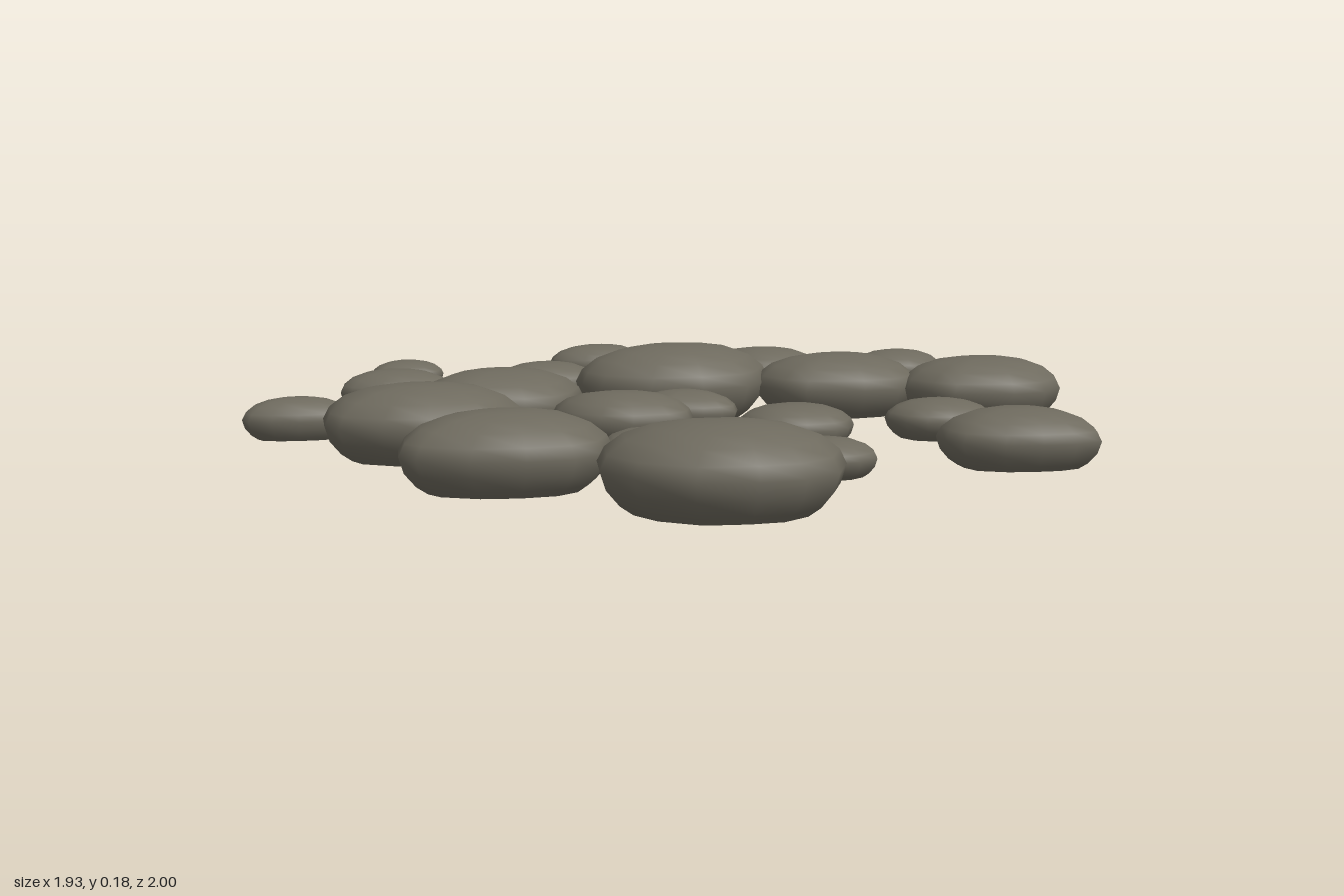
import * as THREE from 'three';

const SIDES = 13;

// Each stone: x min, x max, z min, z max, left and right tip offset (share of half depth)
const STONES = [
  [-0.67, -0.49, -0.90, -0.76, 0.2, 0.1],
  [-0.21, 0.04, -1.00, -0.83, 0, 0],
  [0.17, 0.46, -0.82, -0.60, -0.2, 0.1],
  [0.54, 0.78, -0.83, -0.65, 0.2, -0.2],
  [-0.37, -0.12, -0.69, -0.51, 0.1, 0],
  [-0.75, -0.48, -0.56, -0.37, 0, 0.1],
  [-0.19, 0.28, -0.55, -0.23, 0, -0.35],
  [0.24, 0.63, -0.49, -0.22, -0.1, -0.15],
  [0.58, 0.96, -0.41, -0.13, -0.2, -0.1],
  [-0.58, -0.19, -0.33, -0.03, 0.2, -0.3],
  [-0.09, 0.15, -0.19, -0.01, 0, 0.2],
  [-0.97, -0.72, -0.15, -0.01, 0.1, 0],
  [-0.79, -0.35, -0.02, 0.30, -0.1, -0.1],
  [-0.28, 0.03, -0.06, 0.16, -0.4, 0],
  [0.11, 0.37, 0.08, 0.28, 0, 0],
  [0.46, 0.70, 0.01, 0.19, -0.1, 0.1],
  [-0.21, 0.01, 0.30, 0.50, 0, -0.2],
  [-0.64, -0.20, 0.39, 0.69, 0.1, -0.1],
  [0.50, 0.84, 0.32, 0.56, 0, 0.2],
  [0.12, 0.34, 0.48, 0.65, 0.1, 0],
  [-0.26, 0.23, 0.65, 1.00, -0.3, -0.1],
];

// Rings from crown to underside: radius share, height share (-1 to 1)
const PROFILE = [[0.3, 0.97], [0.56, 0.85], [0.79, 0.62], [0.94, 0.3],
  [1, -0.03], [0.95, -0.45], [0.84, -0.8], [0.73, -1]];

function seeded(seed) {
  let s = seed * 7919 + 17;
  return () => (s = (s * 16807) % 2147483647) / 2147483647;
}

// Irregular rounded outline, stretched to fill -1..1 on both axes
function makeOutline(tipLeft, tipRight, rand) {
  const soft = (v) => Math.sign(v) * Math.abs(v) ** 0.88;
  const pts = [];
  for (let i = 0; i < SIDES; i++) {
    const a = ((i + (i ? (rand() - 0.5) * 0.45 : 0)) / SIDES) * Math.PI * 2;
    const r = 0.97 + rand() * 0.06;
    const x = soft(Math.cos(a)) * r;
    const tip = x > 0 ? tipRight : tipLeft;
    pts.push(new THREE.Vector2(x, soft(Math.sin(a)) * r + tip * Math.abs(x) ** 3));
  }
  const box = new THREE.Box2().setFromPoints(pts);
  const mid = box.getCenter(new THREE.Vector2());
  const half = box.getSize(new THREE.Vector2()).multiplyScalar(0.5);
  return pts.map((p) => p.sub(mid).divide(half));
}

// Smooth domed pebble with a crisp flat underside
function stoneGeometry(halfW, halfH, halfD, outline) {
  const pos = [0, halfH, 0];
  const index = [];
  const addRing = ([r, h]) => outline.forEach((p) =>
    pos.push(p.x * r * halfW, h * halfH, p.y * r * halfD));
  PROFILE.forEach(addRing);
  addRing(PROFILE[PROFILE.length - 1]); // separate ring keeps the lower edge sharp
  const base = 1 + PROFILE.length * SIDES;
  const centre = pos.length / 3;
  pos.push(0, -halfH, 0);
  for (let j = 0; j < SIDES; j++) {
    const k = (j + 1) % SIDES;
    index.push(0, 1 + k, 1 + j);
    for (let i = 0; i < PROFILE.length - 1; i++) {
      const u = 1 + i * SIDES, l = u + SIDES;
      index.push(u + j, u + k, l + j, u + k, l + k, l + j);
    }
    index.push(centre, base + j, base + k);
  }
  const g = new THREE.BufferGeometry();
  g.setAttribute('position', new THREE.Float32BufferAttribute(pos, 3));
  g.setIndex(index);
  g.computeVertexNormals();
  return g;
}

export function createModel() {
  const group = new THREE.Group();
  group.name = 'scatteredStones';
  const stoneGrey = new THREE.MeshStandardMaterial({ color: 0x6e6a5e });
  stoneGrey.name = 'stoneGrey';

  STONES.forEach(([x0, x1, z0, z1, tipLeft, tipRight], i) => {
    const w = x1 - x0;
    // larger stones are taller and sit lower
    const top = 0.035 + 0.3 * w;
    const bottom = Math.max(0, 0.037 - 0.0755 * w);
    const outline = makeOutline(tipLeft, tipRight, seeded(i + 1));
    const mesh = new THREE.Mesh(
      stoneGeometry(w / 2, (top - bottom) / 2, (z1 - z0) / 2, outline), stoneGrey);
    mesh.position.set((x0 + x1) / 2, (top + bottom) / 2, (z0 + z1) / 2);
    mesh.name = `stone${i + 1}`;
    group.add(mesh);
  });
  return group;
}
